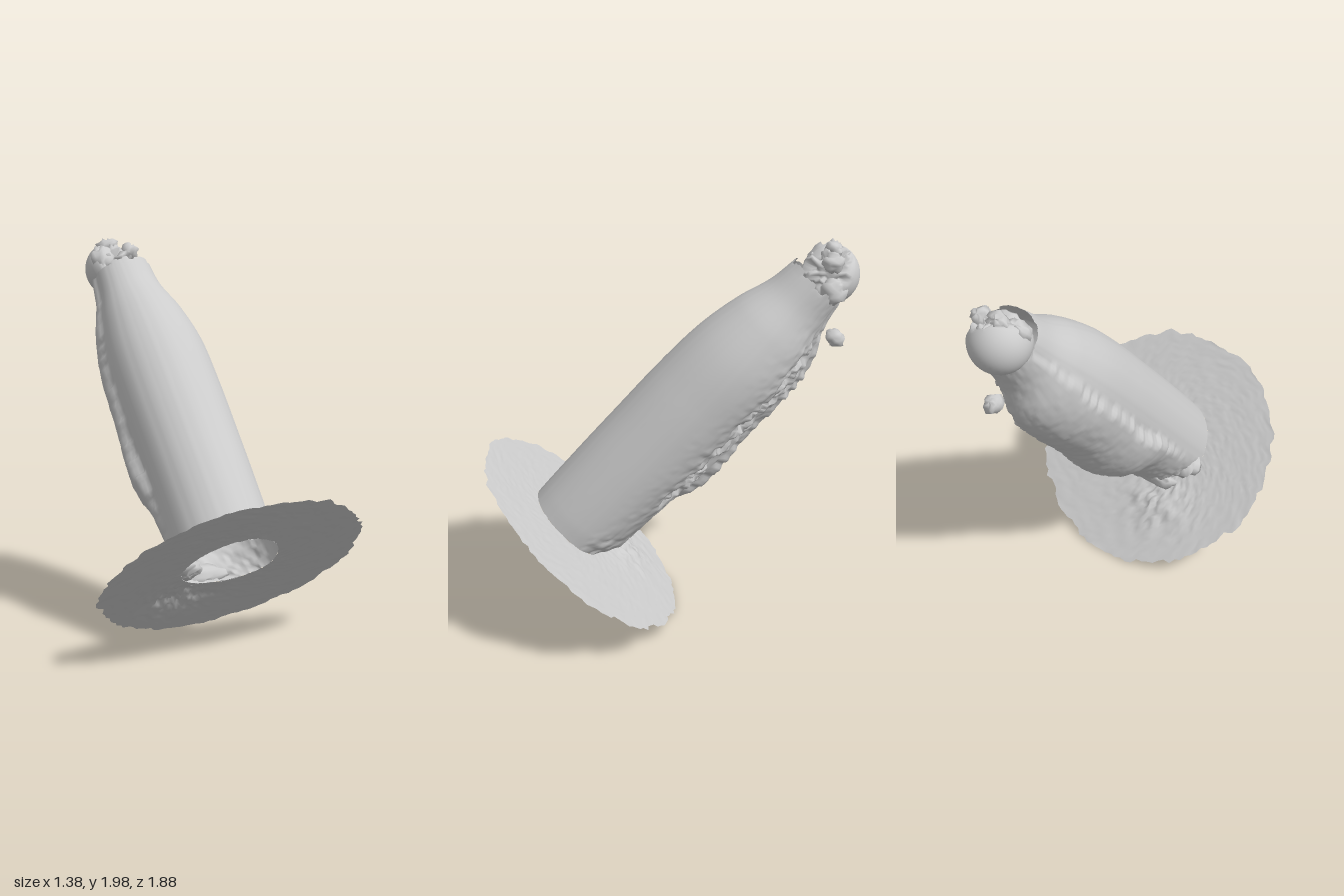
import * as THREE from 'three';

const material = new THREE.MeshStandardMaterial({ color: 0xcccccc, side: THREE.DoubleSide });
const { sin, cos, PI, exp, hypot, max, min, floor } = Math;

// repeatable noise in -1..1
const hash = (i, j) => {
  const s = sin(i * 127.1 + j * 311.7) * 43758.5453;
  return (s - floor(s)) * 2 - 1;
};
const bell = (x, width) => exp(-((x / width) ** 2));
const clamp = (x) => min(1, max(0, x));

// surface from closed loops: point(t, angle, row, column) gives [x, y, z]
function loops(name, rows, cols, point) {
  const pos = [], idx = [];
  for (let i = 0; i <= rows; i++)
    for (let j = 0; j < cols; j++) {
      pos.push(...point(i / rows, (j / cols) * 2 * PI, i, j));
      if (i === rows) continue;
      const a = i * cols + j, b = i * cols + ((j + 1) % cols);
      idx.push(a, a + cols, b, b, a + cols, b + cols);
    }
  const g = new THREE.BufferGeometry();
  g.setAttribute('position', new THREE.Float32BufferAttribute(pos, 3));
  g.setIndex(idx);
  g.computeVertexNormals();
  const mesh = new THREE.Mesh(g, material);
  mesh.name = name;
  return mesh;
}

// irregular lump with three half-widths
function lump(name, seed, [x, y, z], [rx, ry, rz], rough) {
  const mesh = loops(name, 8, 14, (t, a, i, j) => {
    const lat = (t - 0.5) * PI;
    const r = 1 + (i % 8 ? rough * hash(i + seed * 9, j) : 0);
    return [rx * r * cos(lat) * cos(a), ry * r * sin(lat), rz * r * cos(lat) * sin(a)];
  });
  mesh.position.set(x, y, z);
  return mesh;
}

// bottle sections: height, right x, left x, front z, back z
const sections = [
  [0, 0.22, -0.285, 0.298, -0.14],
  [0.1, 0.23, -0.285, 0.301, -0.2],
  [0.4, 0.24, -0.285, 0.305, -0.23],
  [0.62, 0.245, -0.287, 0.305, -0.26],
  [0.95, 0.25, -0.29, 0.304, -0.265],
  [1.23, 0.245, -0.28, 0.288, -0.27],
  [1.46, 0.203, -0.243, 0.243, -0.245],
  [1.64, 0.147, -0.198, 0.185, -0.165],
  [1.79, 0.13, -0.18, 0.163, -0.13],
];
const CX = -0.03, CZ = 0.03;

// smooth blend through the sections
function section(y) {
  let k = 0;
  while (k < sections.length - 2 && y > sections[k + 1][0]) k++;
  const at = (n) => sections[min(sections.length - 1, max(0, n))];
  const [p, a, b, q] = [at(k - 1), at(k), at(k + 1), at(k + 2)];
  const h = b[0] - a[0], t = (y - a[0]) / h;
  return a.map((v, n) => {
    const m0 = ((b[n] - p[n]) / (b[0] - p[0])) * h, m1 = ((q[n] - v) / (q[0] - a[0])) * h;
    return v + t * m0 + t * t * (3 * (b[n] - v) - 2 * m0 - m1) + t ** 3 * (2 * (v - b[n]) + m0 + m1);
  });
}

function bodyPoint(y, angle) {
  const [, right, left, front, back] = section(y);
  const c = cos(angle), s = sin(angle);
  return [CX + c * (c > 0 ? right - CX : CX - left), y, CZ + s * (s > 0 ? front - CZ : CZ - back)];
}

export function createModel() {
  const model = new THREE.Group();
  const tilted = new THREE.Group();
  tilted.name = 'tiltedBottle';
  tilted.rotation.x = -0.73;
  tilted.position.set(0, 0.45, 0.46);
  model.add(tilted);

  // hollow body; its left rear skin is raised and ends at an eroded groove
  tilted.add(loops('bottleBody', 110, 120, (t, a, i, j) => {
    const y = 1.79 * t;
    const p = bodyPoint(y, a);
    const along = clamp((y - 0.38) * 8) * clamp((1.64 - y) * 6);
    const groove = bell(a - 1.68 * PI, 0.27) * along;
    const ragged = a + 0.07 * hash(i >> 1, 4);
    const skin = clamp((ragged - 1.03 * PI) * 7) * clamp((1.55 * PI - ragged) * 7);
    const rear = clamp(-sin(a) * 1.5 - 0.4);
    const start = clamp(y * 2 - 0.2) * (1 - rear) + clamp((y - 0.38) * 8) * rear;
    const raise = skin * start * (0.12 + 0.09 * bell(y - 0.6, 0.25));
    const back = max(0, -sin(a));
    const foot = bell(y - 0.06, 0.08) * back;
    const k = 1 - 0.13 * groove + raise + hash(j, 3) * 0.003
      + hash(i >> 1, j >> 1) * (0.1 * groove + 0.012 * back + 0.05 * foot);
    const rim = t === 1 ? 0.015 * hash(j >> 2, 7) : 0;
    return [CX + (p[0] - CX) * k, y + rim, CZ + (p[2] - CZ) * k];
  }));

  // thin ground disc, open below the bottle, with a torn edge and sediment at the back
  tilted.add(loops('groundDisc', 24, 132, (t, a, i, j) => {
    const inner = bodyPoint(0, a);
    const tear = 1 + 0.022 * hash(floor(j / 3), 5) + 0.014 * hash(j, 9);
    const outer = [0.68 * cos(a) * tear, 0, 0.65 * sin(a) * tear];
    const x = outer[0] + (inner[0] - outer[0]) * t;
    const z = outer[2] + (inner[2] - outer[2]) * t;
    const mound = bell(hypot((x + 0.17) / 1.2, z + 0.28), 0.16) * (1 - t ** 8);
    return [x, mound * (0.022 + 0.018 * hash(i, j)) + 0.002 * hash(i, j + 50), z];
  }));

  // rounded cap, smooth behind and broken open towards the front
  tilted.add(loops('brokenCap', 28, 44, (t, a, i, j) => {
    const lat = (t - 0.5) * PI;
    const d = [cos(lat) * cos(a), sin(lat), cos(lat) * sin(a)];
    const facing = d[0] * 0.5 + d[1] * 0.1 + d[2] * 0.85;
    const broken = clamp((facing - 0.15) * 3);
    const pole = i === 0 || i === 28;
    const r = 0.15 * (1 - broken * (0.25 + (pole ? 0 : 0.24 * hash(i >> 1, j >> 1))));
    return [-0.05 + d[0] * r, 1.855 + d[1] * r, -0.015 + d[2] * r];
  }));

  // jagged remains around the mouth
  [
    [[-0.13, 1.87, 0.06], [0.055, 0.07, 0.05]],
    [[0.05, 1.92, 0.04], [0.045, 0.05, 0.05]],
    [[-0.07, 1.96, 0.05], [0.06, 0.035, 0.045]],
    [[0.07, 1.82, -0.05], [0.045, 0.06, 0.06]],
  ].forEach(([at, size], n) => tilted.add(lump('mouthRemnant', n, at, size, 0.26)));

  // loose piece floating behind the neck
  tilted.add(lump('looseFragment', 6, [-0.03, 1.635, -0.267], [0.045, 0.04, 0.05], 0.18));

  // sediment joining the bottle foot to the disc, inside and out
  tilted.add(lump('footSediment', 7, [-0.1, 0.06, -0.16], [0.15, 0.05, 0.045], 0.2));
  tilted.add(lump('innerSediment', 8, [-0.23, 0.04, -0.03], [0.08, 0.04, 0.07], 0.25));

  return model;
}
